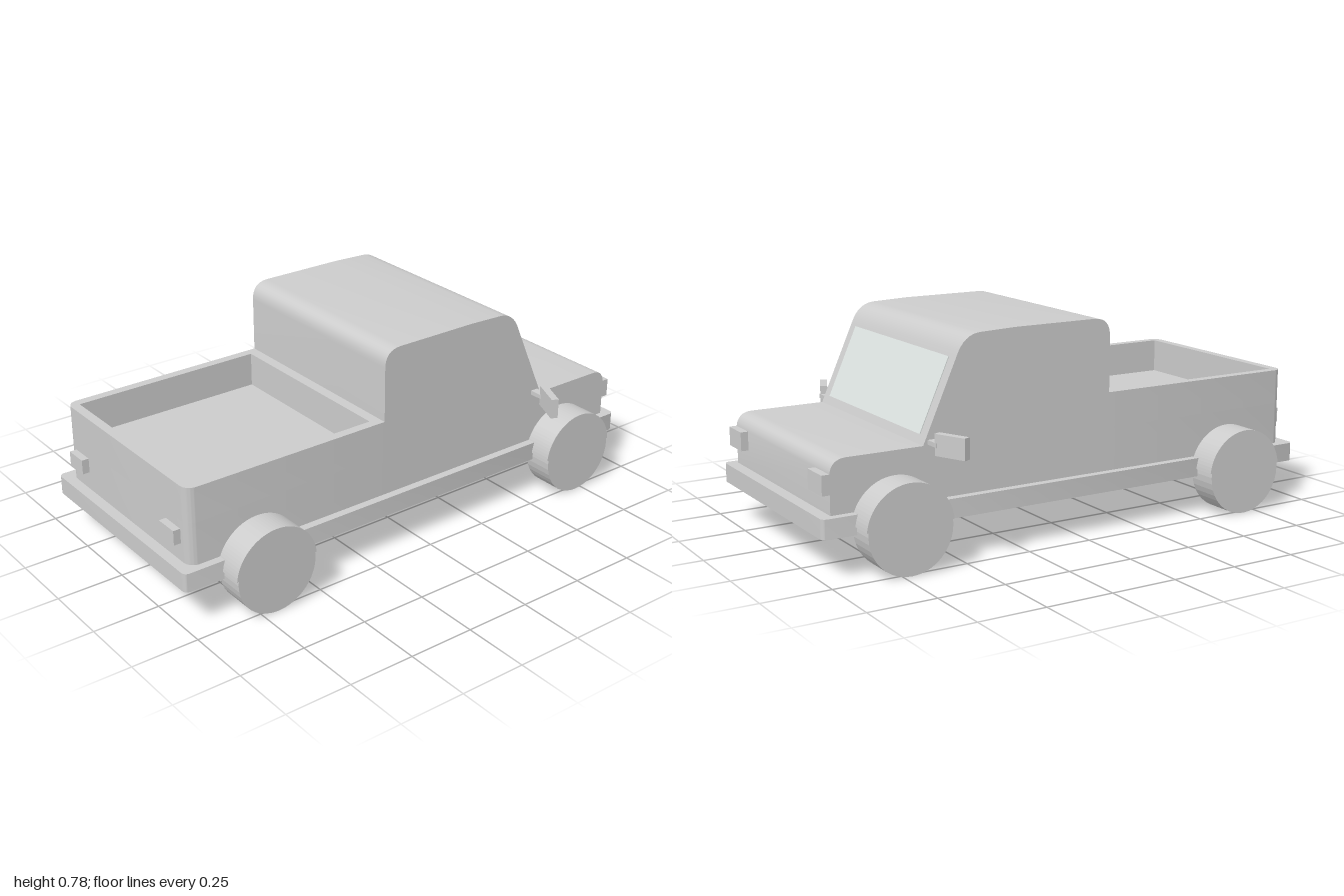
import * as THREE from 'three';
import { toCreasedNormals } from 'three/addons/utils/BufferGeometryUtils.js';

const grey = new THREE.MeshStandardMaterial({ color: 0xcccccc });
const flatGrey = new THREE.MeshStandardMaterial({ color: 0xcccccc, flatShading: true });
const glass = new THREE.MeshStandardMaterial({ color: 0xdde3e1 });

// Rectangle in plan with its own corner radius at each x end
function plan(Path, x0, x1, halfZ, r0, r1) {
  const p = new Path();
  p.moveTo(x0 + r0, -halfZ);
  p.lineTo(x1 - r1, -halfZ);
  if (r1) p.absarc(x1 - r1, -halfZ + r1, r1, -Math.PI / 2, 0);
  p.lineTo(x1, halfZ - r1);
  if (r1) p.absarc(x1 - r1, halfZ - r1, r1, 0, Math.PI / 2);
  p.lineTo(x0 + r0, halfZ);
  if (r0) p.absarc(x0 + r0, halfZ - r0, r0, Math.PI / 2, Math.PI);
  p.lineTo(x0, -halfZ + r0);
  if (r0) p.absarc(x0 + r0, -halfZ + r0, r0, Math.PI, Math.PI * 1.5);
  p.closePath();
  return p;
}

// Raise a plan shape from y0 to y1
function slab(shape, y0, y1) {
  const g = new THREE.ExtrudeGeometry(shape, { depth: y1 - y0, bevelEnabled: false, curveSegments: 8 });
  g.rotateX(-Math.PI / 2).translate(0, y0, 0);
  return toCreasedNormals(g, 0.6);
}

export function createModel() {
  const model = new THREE.Group();
  const add = (name, geometry, material = grey) => {
    const mesh = new THREE.Mesh(geometry, material);
    mesh.name = name;
    model.add(mesh);
    return mesh;
  };
  const box = (name, x0, x1, y0, y1, z0, z1) => add(name,
    new THREE.BoxGeometry(x1 - x0, y1 - y0, Math.abs(z1 - z0))
      .translate((x0 + x1) / 2, (y0 + y1) / 2, (z0 + z1) / 2));

  // Chassis plate with bumper ends
  add('chassis', slab(plan(THREE.Shape, -1, 1, 0.435, 0.02, 0.02), 0.145, 0.215));

  // Cargo bed: solid lower part and open rim
  add('bedBase', slab(plan(THREE.Shape, -0.96, -0.14, 0.405, 0.04, 0), 0.21, 0.375));
  const rim = plan(THREE.Shape, -0.96, -0.14, 0.405, 0.04, 0);
  rim.holes.push(plan(THREE.Path, -0.925, -0.185, 0.37, 0, 0));
  add('bedWalls', slab(rim, 0.375, 0.505));

  // Cab and hood as one side profile
  const side = new THREE.Shape();
  side.moveTo(-0.145, 0.21);
  side.lineTo(0.957, 0.21);
  side.lineTo(0.957, 0.355);
  side.quadraticCurveTo(0.95, 0.403, 0.9, 0.405);
  side.lineTo(0.612, 0.405);
  side.lineTo(0.48, 0.7);
  side.quadraticCurveTo(0.452, 0.768, 0.39, 0.772);
  side.lineTo(0.25, 0.777);
  side.lineTo(-0.08, 0.777);
  side.quadraticCurveTo(-0.145, 0.775, -0.145, 0.71);
  side.closePath();
  const cab = new THREE.ExtrudeGeometry(side, { depth: 0.81, bevelEnabled: false, curveSegments: 8 });
  add('cab', toCreasedNormals(cab.translate(0, 0, -0.405), 0.5));

  // Windscreen pane lying on the sloped front of the cab
  const dx = 0.132, dy = 0.295;
  const pane = add('windscreen', new THREE.BoxGeometry(0.006, 0.28, 0.72), glass);
  pane.rotation.z = Math.atan2(dx, dy);
  pane.position.set(0.612 - dx * (0.5625 - 0.405) / dy, 0.5625, 0);

  for (const s of [1, -1]) {
    const label = s > 0 ? 'left' : 'right';

    // Wheels under half-round fenders
    for (const [end, x] of [['Rear', -0.69], ['Front', 0.72]]) {
      const wheel = new THREE.CylinderGeometry(0.157, 0.157, 0.115, 40);
      wheel.rotateX(Math.PI / 2).translate(x, 0.157, s * 0.4625);
      add(label + end + 'Wheel', wheel, flatGrey);

      const arch = new THREE.Shape();
      arch.absarc(0, 0, 0.163, 0.1, Math.PI - 0.1);
      arch.closePath();
      const fender = new THREE.ExtrudeGeometry(arch, { depth: 0.115, bevelEnabled: false, curveSegments: 20 });
      fender.translate(x, 0.157, s * 0.4625 - 0.0575);
      add(label + end + 'Fender', fender, flatGrey);
    }

    // Lamps
    box(label + 'Headlamp', 0.945, 0.985, 0.285, 0.355, s * 0.295, s * 0.405);
    box(label + 'TailLamp', -0.987, -0.95, 0.285, 0.34, s * 0.265, s * 0.355);

    // Door mirror on a short arm
    box(label + 'MirrorArm', 0.565, 0.595, 0.408, 0.424, s * 0.395, s * 0.465);
    const mirror = add(label + 'Mirror', new THREE.BoxGeometry(0.027, 0.076, 0.125));
    mirror.position.set(0.558, 0.418, s * 0.508);
    mirror.rotation.y = -s * 0.42;
  }
  return model;
}
